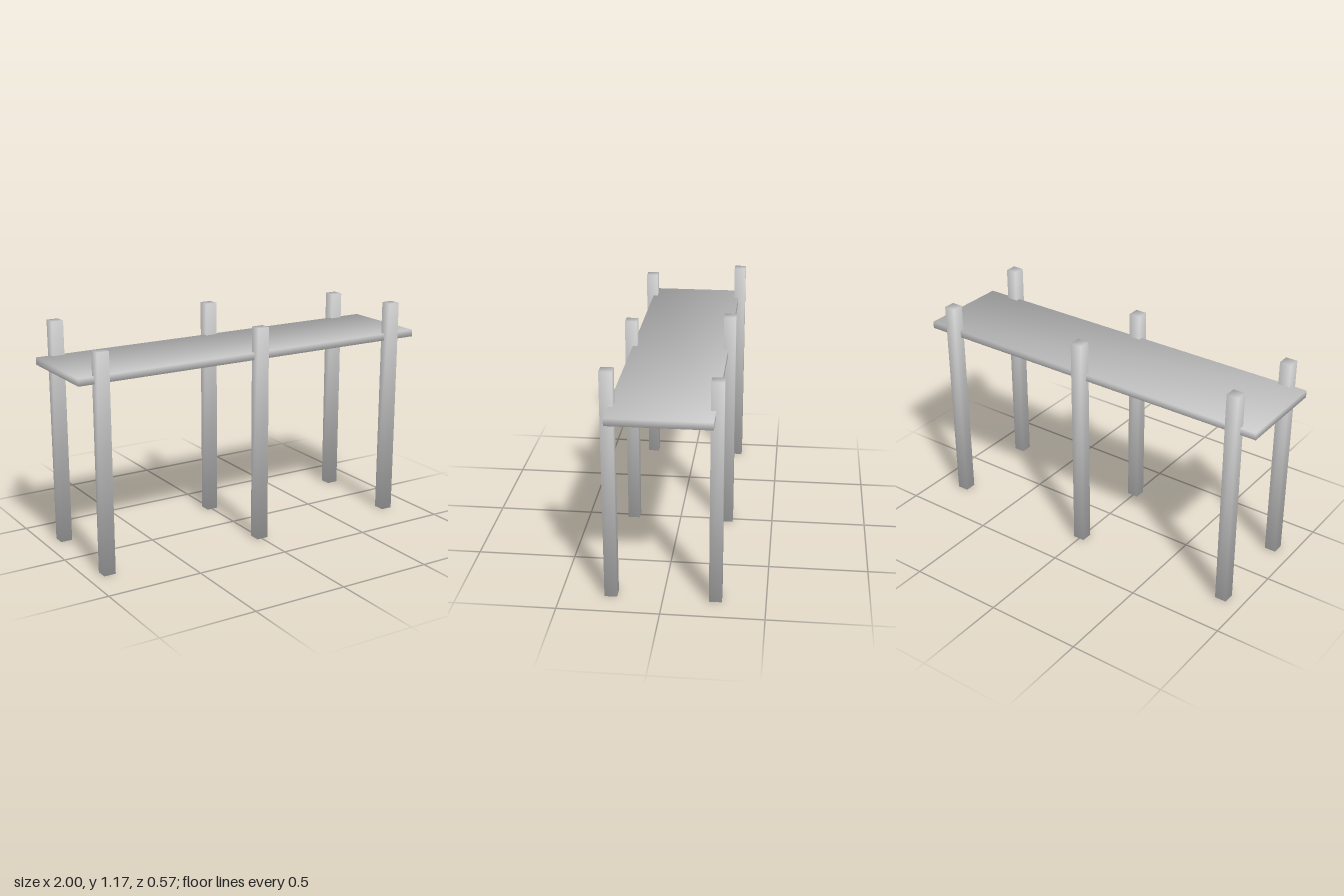
import * as THREE from 'three';

const material = new THREE.MeshStandardMaterial({ color: 0xcccccc });

// Box standing on a given height, with normals averaged at its corners for soft shading
function softBox(name, width, height, depth, x, bottom, z) {
  const geometry = new THREE.BoxGeometry(width, height, depth);
  const { position, normal } = geometry.attributes;
  const n = new THREE.Vector3();
  for (let i = 0; i < position.count; i++) {
    n.fromBufferAttribute(position, i);
    n.set(Math.sign(n.x), Math.sign(n.y), Math.sign(n.z)).normalize();
    normal.setXYZ(i, n.x, n.y, n.z);
  }
  const mesh = new THREE.Mesh(geometry, material);
  mesh.name = name;
  mesh.position.set(x, bottom + height / 2, z);
  return mesh;
}

export function createModel() {
  const model = new THREE.Group();
  model.name = 'raisedWalkway';

  // Long deck plank
  model.add(softBox('deck', 2, 0.037, 0.495, 0, 0.961, 0));

  // Three pairs of posts, cut to slightly uneven heights
  const pairs = [
    { side: 'Right', x: -0.887, front: 1.12, back: 1.173 },
    { side: 'Middle', x: 0.003, front: 1.13, back: 1.169 },
    { side: 'Left', x: 0.835, front: 1.168, back: 1.137 },
  ];
  for (const { side, x, front, back } of pairs) {
    model.add(softBox(`frontPost${side}`, 0.062, front, 0.062, x, 0, 0.255));
    model.add(softBox(`backPost${side}`, 0.062, back, 0.062, x, 0, -0.255));
  }
  return model;
}
